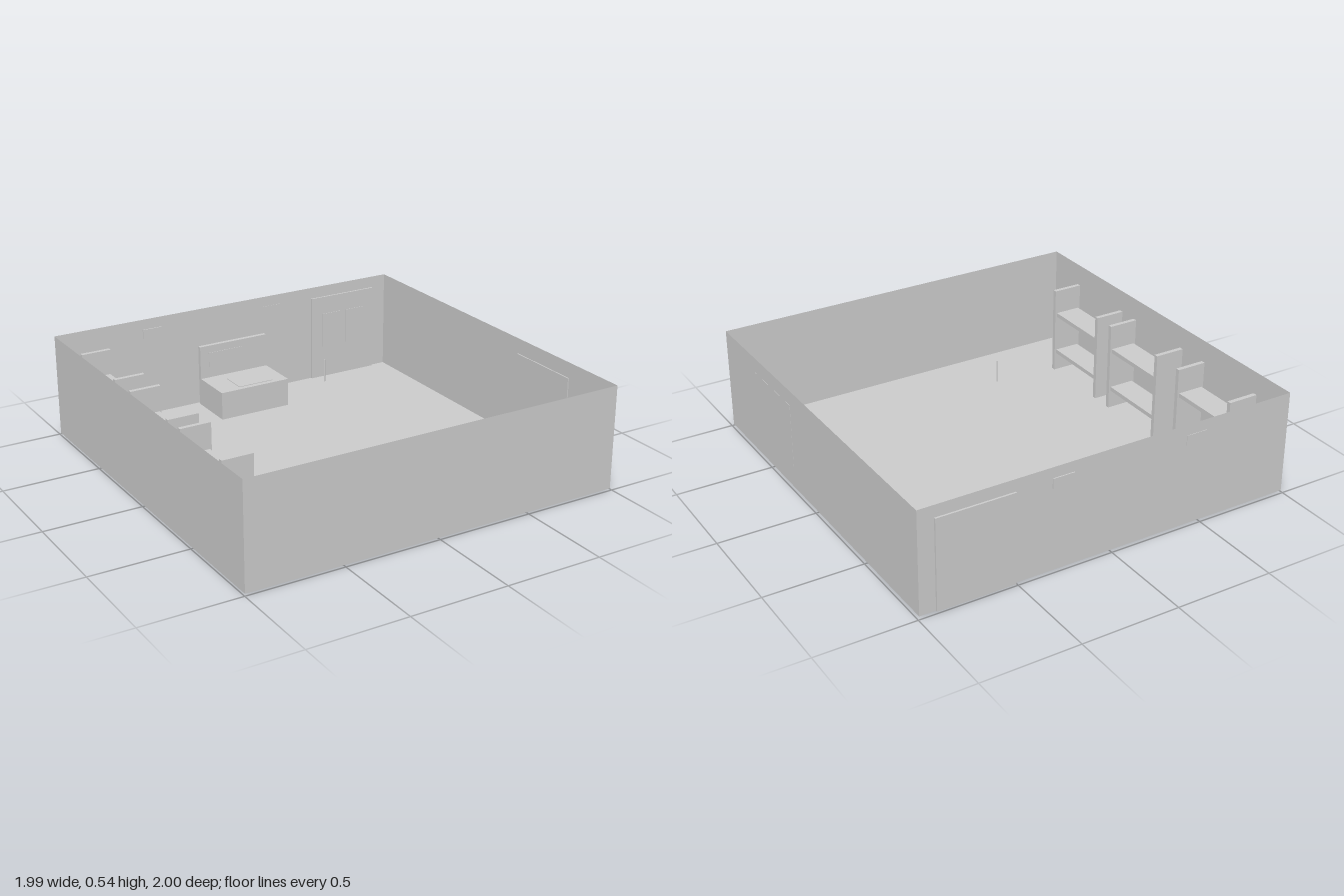
import * as THREE from 'three';

export function createModel() {
  const room = new THREE.Group();
  room.name = 'room';
  const mat = new THREE.MeshStandardMaterial({ color: 0xcccccc, flatShading: true });
  const thin = new THREE.MeshStandardMaterial({ color: 0xcccccc, side: THREE.DoubleSide });

  // Box given by its extents on each axis
  function box(name, [x0, x1], [y0, y1], [z0, z1], parent = room) {
    const m = new THREE.Mesh(new THREE.BoxGeometry(x1 - x0, y1 - y0, z1 - z0), mat);
    m.position.set((x0 + x1) / 2, (y0 + y1) / 2, (z0 + z1) / 2);
    m.name = name;
    parent.add(m);
    return m;
  }

  // Thin open sheet
  function sheet(name, w, h, pos, rot) {
    const m = new THREE.Mesh(new THREE.PlaneGeometry(w, h), thin);
    m.position.set(...pos);
    m.rotation.set(...rot);
    m.name = name;
    room.add(m);
  }

  // Shell: floor and four walls, open at the top
  const x0 = -0.997, x1 = 0.99, z0 = -0.99, z1 = 0.997;
  const y0 = 0.01, y1 = 0.54;
  const w = x1 - x0, d = z1 - z0, h = y1 - y0;
  const cx = (x0 + x1) / 2, cy = (y0 + y1) / 2, cz = (z0 + z1) / 2;
  sheet('floor', w, d, [cx, y0, cz], [-Math.PI / 2, 0, 0]);
  sheet('frontWall', w, h, [cx, cy, z1], [0, 0, 0]);
  sheet('backWall', w, h, [cx, cy, z0], [0, Math.PI, 0]);
  sheet('leftWall', d, h, [x1, cy, cz], [0, Math.PI / 2, 0]);
  sheet('rightWall', d, h, [x0, cy, cz], [0, -Math.PI / 2, 0]);

  // Three shelf units along the right wall
  for (const z of [-0.84, -0.265, 0.255]) {
    const unit = new THREE.Group();
    unit.name = 'shelfUnit';
    unit.position.z = z;
    for (const s of [0, 0.398]) box('shelfSide', [-0.925, -0.768], [0, 0.48], [s, s + 0.022], unit);
    for (const y of [0.108, 0.328]) box('shelfBoard', [-0.915, -0.778], [y, y + 0.022], [0.022, 0.398], unit);
    room.add(unit);
  }

  // Counter with upright back panel
  const counter = new THREE.Group();
  counter.name = 'counter';
  box('counterBody', [-0.2, 0.2], [y0, 0.16], [-0.95, -0.712], counter);
  box('counterBack', [-0.2, 0.2], [y0, 0.34], [-0.973, -0.95], counter);
  box('backPanelPlate', [-0.15, 0.05], [0.22, 0.3], [-0.951, -0.947], counter);
  box('counterMat', [-0.08, 0.12], [0.159, 0.163], [-0.88, -0.74], counter);
  room.add(counter);

  // Door in the back wall with two raised panels inside
  box('door', [0.51, 0.908], [y0, 0.478], [-1, -0.98]);
  for (const x of [0.575, 0.73]) box('doorPanel', [x, x + 0.115], [0.19, 0.38], [-0.981, -0.977]);

  // Small vents high on the back wall
  box('vent', [0.21, 0.322], [0.435, 0.485], [-0.996, -0.988]);
  box('vent', [-0.51, -0.4], [0.435, 0.485], [-0.993, -0.984]);

  // Notice board on the left wall
  box('noticeBoard', [0.984, 0.991], [0.11, 0.46], [0.248, 0.65]);

  // Cord hanging at the middle of the room
  const cord = new THREE.Mesh(new THREE.CylinderGeometry(0.004, 0.004, 0.11, 8), mat);
  cord.position.set(cx, 0.485, 0.003);
  cord.name = 'hangingCord';
  room.add(cord);

  return room;
}
